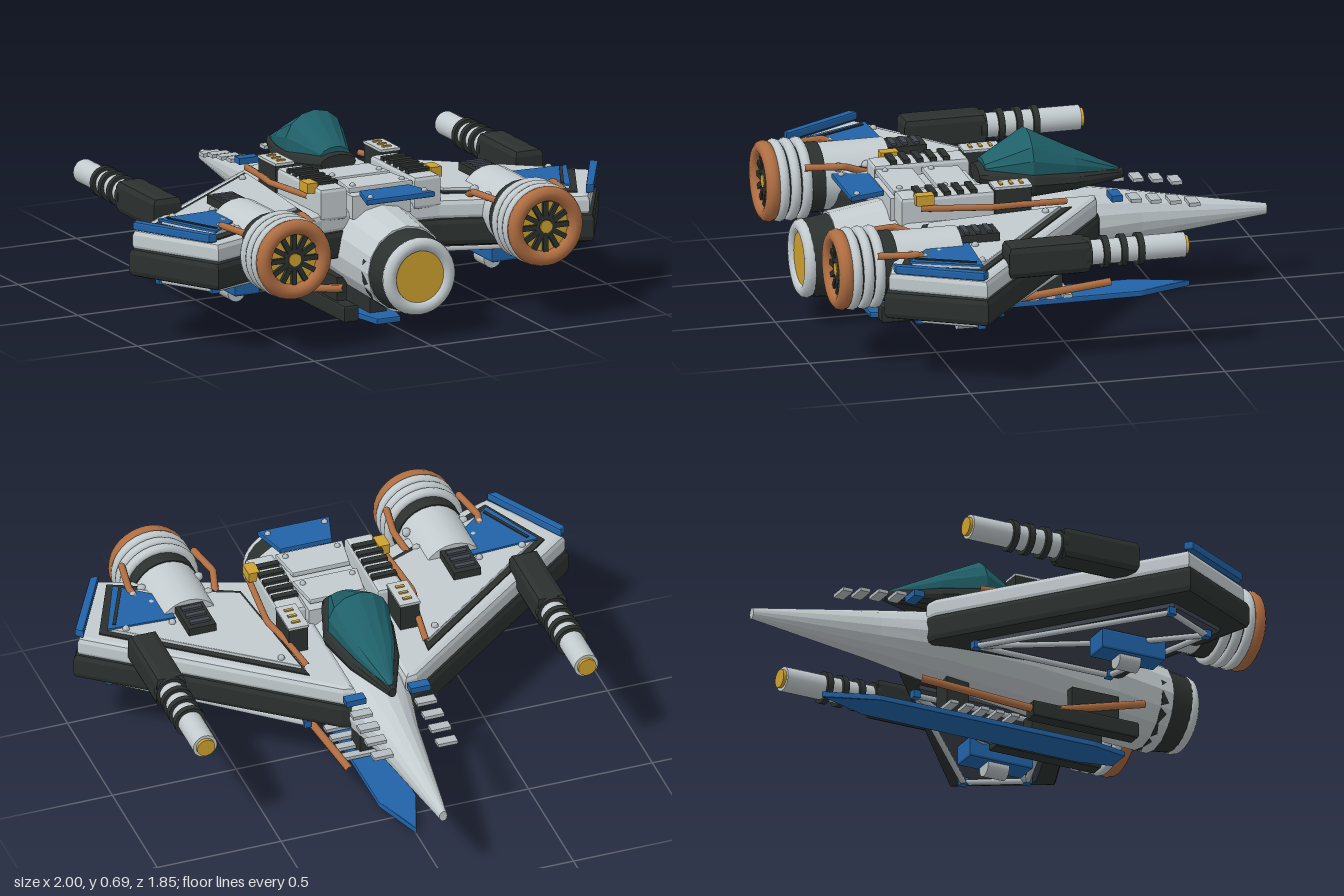
import * as THREE from 'three';

const mat = (name, color) => Object.assign(new THREE.MeshStandardMaterial({ color }), { name });
const white = mat('hull white', 0xc3cbce), dark = mat('dark armour', 0x2b312f), blue = mat('blue trim', 0x2163a8);
const copper = mat('copper', 0xb06e42), gold = mat('gold', 0xcfa12f), teal = mat('canopy teal', 0x1f6069);
const slate = mat('underside slate', 0x414751), grey = mat('light grey', 0xb5bdc1);

export function createModel() {
  const model = new THREE.Group();
  model.name = 'starfighter';

  const add = (name, geo, material, x = 0, y = 0, z = 0) => {
    const m = new THREE.Mesh(geo, material);
    m.name = name;
    m.position.set(x, y, z);
    model.add(m);
    return m;
  };
  const box = (name, material, x, y, z, w, h, d) => add(name, new THREE.BoxGeometry(w, h, d), material, x, y, z);

  // Cylinder along z from z0 to z1
  const cyl = (name, material, x, y, z0, z1, r0, r1 = r0, sides = 24) =>
    add(name, new THREE.CylinderGeometry(r1, r0, z1 - z0, sides).rotateX(Math.PI / 2), material, x, y, (z0 + z1) / 2);

  const ring = (name, material, x, y, z, r, t) => add(name, new THREE.TorusGeometry(r, t, 10, 32), material, x, y, z);

  // Plan outline of [x, z] points, raised from y0 to y1
  const slab = (name, material, pts, y0, y1, bevel = 0) => {
    const shape = new THREE.Shape(pts.map(([x, z]) => new THREE.Vector2(x, -z)));
    const geo = new THREE.ExtrudeGeometry(shape, {
      depth: y1 - y0 - 2 * bevel, bevelEnabled: bevel > 0, bevelSize: bevel,
      bevelThickness: bevel, bevelOffset: -bevel, bevelSegments: 2,
    });
    return add(name, geo.rotateX(-Math.PI / 2), material, 0, y0 + bevel, 0);
  };

  // Straight-sided pipe through a few points
  const pipe = (name, material, pts, r) => {
    const path = new THREE.CurvePath();
    const v = pts.map(p => new THREE.Vector3(...p));
    for (let i = 1; i < v.length; i++) path.add(new THREE.LineCurve3(v[i - 1], v[i]));
    return add(name, new THREE.TubeGeometry(path, 24, r, 8), material);
  };

  // Faceted body through elliptical sections [z, cy, rx, ry], ordered by rising z
  const loft = (name, material, sections, sides) => {
    const pos = [], idx = [], n = sections.length;
    for (const [z, cy, rx, ry] of sections)
      for (let i = 0; i < sides; i++) {
        const a = (i / sides) * Math.PI * 2 + Math.PI / 2;
        pos.push(Math.cos(a) * rx, cy + Math.sin(a) * ry, z);
      }
    for (let s = 0; s < n - 1; s++)
      for (let i = 0; i < sides; i++) {
        const a = s * sides + i, b = s * sides + (i + 1) % sides;
        idx.push(a, b, b + sides, a, b + sides, a + sides);
      }
    const e = (n - 1) * sides;
    for (let i = 1; i < sides - 1; i++) idx.push(0, i + 1, i, e, e + i, e + i + 1);
    let geo = new THREE.BufferGeometry();
    geo.setAttribute('position', new THREE.Float32BufferAttribute(pos, 3));
    geo.setIndex(idx);
    geo = geo.toNonIndexed();
    geo.computeVertexNormals();
    return add(name, geo, material);
  };

  // Fuselage and canopy
  loft('fuselage', white, [[-0.93, 0.285, 0.016, 0.022], [-0.42, 0.305, 0.09, 0.096], [-0.15, 0.31, 0.15, 0.135],
    [0.2, 0.3, 0.175, 0.16], [0.55, 0.275, 0.182, 0.182], [0.79, 0.25, 0.165, 0.17]], 16);
  loft('canopyRim', dark, [[-0.365, 0.48, 0.015, 0.02], [-0.16, 0.49, 0.102, 0.052], [0.015, 0.505, 0.142, 0.078],
    [0.18, 0.525, 0.09, 0.045], [0.215, 0.53, 0.075, 0.032]], 16);
  loft('canopy', teal, [[-0.345, 0.495, 0.01, 0.012], [-0.16, 0.54, 0.085, 0.06], [0.015, 0.57, 0.126, 0.122],
    [0.19, 0.555, 0.062, 0.032]], 14);

  // Main rear nozzle
  cyl('nozzleBand', dark, 0, 0.25, 0.74, 0.885, 0.168, 0.148);
  ring('nozzleLip', white, 0, 0.247, 0.89, 0.125, 0.027);
  cyl('nozzleGlow', gold, 0, 0.247, 0.88, 0.9, 0.102);

  // Spine plates with corner bolts
  const plates = [[0.25, 0.39, 0.11, 0.13, 0.505, white], [0.43, 0.57, 0.115, 0.135, 0.51, white], [0.6, 0.74, 0.105, 0.145, 0.505, blue]];
  box('spineCore', white, 0, 0.455, 0.4, 0.25, 0.09, 0.36);
  for (const [z0, z1, w0, w1, y, m] of plates) {
    slab('spinePlate', m, [[-w0, z0], [w0, z0], [w1, z1], [-w1, z1]], y, y + 0.022, 0.005);
    for (const s of [-1, 1])
      add('plateBolt', new THREE.SphereGeometry(0.012, 10, 8), grey, s * (w1 - 0.03), y + 0.022, z1 - 0.03);
  }

  // Keel plate, pylon and ladder rungs
  slab('keelPlate', blue, [[0, -0.63], [0.075, -0.42], [0.08, 0.5], [0.05, 0.64], [-0.05, 0.64], [-0.08, 0.5], [-0.075, -0.42]], 0, 0.024, 0.005);
  box('keelPylon', dark, 0, 0.1, -0.07, 0.085, 0.16, 0.095);
  box('keelRearPylon', dark, 0, 0.06, 0.4, 0.07, 0.09, 0.3);
  for (let i = 0; i < 5; i++) box('ladderRung', grey, 0, 0.042, -0.12 + i * 0.065, 0.23, 0.014, 0.035);

  for (const s of [-1, 1]) {
    const P = pts => pts.map(([x, ...r]) => [s * x, ...r]);

    // Wing layers
    const outline = [[0.1, -0.25], [0.16, -0.23], [1, 0.43], [0.8, 0.785], [0.25, 0.58], [0.1, 0.56]];
    slab('wingLower', dark, P(outline), 0.255, 0.37, 0.025);
    slab('wingUpper', white, P([[0.1, -0.235], [0.15, -0.225], [0.985, 0.43], [0.79, 0.765], [0.25, 0.57], [0.1, 0.55]]), 0.355, 0.44, 0.022);
    slab('wingInset', dark, P([[0.24, -0.1], [0.9, 0.425], [0.765, 0.715], [0.3, 0.5]]), 0.436, 0.446);
    slab('wingPanel', white, P([[0.255, -0.055], [0.86, 0.425], [0.755, 0.665], [0.31, 0.48]]), 0.44, 0.458, 0.004);
    slab('wingBluePanel', blue, P([[0.87, 0.415], [0.6, 0.4], [0.6, 0.55], [0.755, 0.675]]), 0.456, 0.465);
    slab('wingPanelSeam', dark, P([[0.83, 0.43], [0.842, 0.435], [0.74, 0.65], [0.73, 0.64]]), 0.463, 0.469);
    slab('wingTipStrip', blue, P([[0.965, 0.42], [0.99, 0.445], [0.82, 0.745], [0.785, 0.745]]), 0.44, 0.475, 0.008);
    for (const [x, z] of [[0.31, 0.02], [0.62, 0.38], [0.8, 0.4], [0.7, 0.6]])
      add('wingStud', new THREE.SphereGeometry(0.014, 10, 8), grey, s * x, 0.46, z);

    // Wing underside with struts and pod
    slab('wingUnderside', slate, P([[0.22, -0.1], [0.88, 0.42], [0.76, 0.68], [0.24, 0.5]]), 0.238, 0.258);
    const corners = P([[0.25, 0.222, -0.1], [0.86, 0.222, 0.42], [0.74, 0.222, 0.63], [0.25, 0.222, 0.47]]);
    corners.forEach((c, i) => {
      pipe('undersideStrut', grey, [c, corners[(i + 1) % 4]], 0.012);
      box('strutClamp', blue, c[0], 0.225, c[2], 0.03, 0.03, 0.03);
    });
    pipe('undersideBrace', grey, [corners[0], [s * 0.545, 0.222, 0.4], corners[2]], 0.012);
    const pod = slab('underPod', blue, P([[0.495, 0.26], [0.6, 0.26], [0.6, 0.53], [0.495, 0.53]]), 0.15, 0.235, 0.01);
    pod.name = 'underPod';
    cyl('podTube', grey, s * 0.545, 0.14, 0.345, 0.435, 0.037);

    // Engine
    const ex = s * 0.535, ey = 0.38;
    cyl('engineBody', white, ex, ey, 0.43, 0.7, 0.13);
    cyl('engineBand', dark, ex, ey, 0.69, 0.88, 0.135);
    for (const z of [0.765, 0.81, 0.855]) ring('engineRing', white, ex, ey, z, 0.14, 0.02);
    ring('engineLip', copper, ex, ey, 0.895, 0.127, 0.03);
    cyl('engineGlow', gold, ex, ey, 0.87, 0.89, 0.112);
    for (let i = 0; i < 12; i++) {
      const blade = add('fanBlade', new THREE.BoxGeometry(0.065, 0.02, 0.02).translate(0.066, 0, 0), dark, ex, ey, 0.894);
      blade.rotation.z = i * Math.PI / 6;
    }
    ring('fanHubRing', dark, ex, ey, 0.896, 0.032, 0.01);
    cyl('fanHub', gold, ex, ey, 0.88, 0.908, 0.025);
    for (const k of [-1, 1]) {
      const px = d => ex + k * d;
      pipe('enginePipe', copper, [[px(0.145), 0.43, 0.53], [px(0.17), 0.47, 0.63], [px(0.145), 0.47, 0.78]], 0.014);
      for (const z of [0.53, 0.64]) add('engineBolt', new THREE.SphereGeometry(0.018, 10, 8), grey, px(0.115), 0.45, z);
    }
    box('engineDuct', dark, ex, 0.45, 0.355, 0.11, 0.08, 0.16);
    for (let i = 0; i < 3; i++) box('ductRib', slate, ex, 0.492, 0.31 + i * 0.045, 0.08, 0.014, 0.02);

    // Cannon
    const cx = s * 0.77;
    slab('cannonHousing', dark, P([[0.712, -0.02], [0.828, -0.02], [0.828, 0.3], [0.712, 0.3]]), 0.375, 0.51, 0.028);
    cyl('cannonBarrel', white, cx, 0.443, -0.4, 0, 0.048);
    cyl('cannonTip', gold, cx, 0.443, -0.413, -0.395, 0.036);
    for (const z of [-0.015, -0.085, -0.155, -0.222]) cyl('cannonRing', dark, cx, 0.443, z - 0.012, z + 0.012, 0.062);

    // Side nacelle with cooling ribs
    slab('sideNacelle', white, P([[0.145, 0.2], [0.255, 0.2], [0.255, 0.57], [0.145, 0.57]]), 0.41, 0.54, 0.015);
    for (let i = 0; i < 5; i++) box('coolingRib', dark, s * 0.2, 0.54, 0.285 + i * 0.052, 0.1, 0.024, 0.026);
    box('goldCell', gold, s * 0.263, 0.535, 0.485, 0.045, 0.04, 0.07);

    // Control box with gold keys
    box('controlBox', dark, s * 0.225, 0.495, 0.135, 0.078, 0.11, 0.145);
    box('controlTop', white, s * 0.225, 0.552, 0.135, 0.082, 0.009, 0.15);
    for (let i = 0; i < 3; i++) box('controlKey', gold, s * 0.225, 0.558, 0.095 + i * 0.04, 0.035, 0.008, 0.012);
    pipe('wingPipe', copper, P([[0.24, 0.47, -0.08], [0.265, 0.48, 0.1], [0.295, 0.49, 0.22], [0.27, 0.5, 0.5]]), 0.013);

    // Nose tabs
    [[-0.605, 0.385], [-0.53, 0.4], [-0.453, 0.41], [-0.375, 0.42]].forEach(([z, y]) =>
      box('noseTab', grey, s * 0.13, y, z, 0.08, 0.014, 0.042));
    box('noseBlueTab', blue, s * 0.13, 0.435, -0.3, 0.08, 0.025, 0.042);

    // Belly skid and pipe
    slab('bellySkid', dark, P([[0.125, 0.18], [0.185, 0.18], [0.185, 0.63], [0.125, 0.63]]), 0.02, 0.088, 0.01);
    box('skidMount', dark, s * 0.155, 0.12, 0.45, 0.04, 0.12, 0.2);
    pipe('bellyPipe', copper, P([[0.19, 0.165, 0.65], [0.165, 0.055, 0.22], [0.14, 0.095, -0.28]]), 0.016);
  }
  return model;
}
